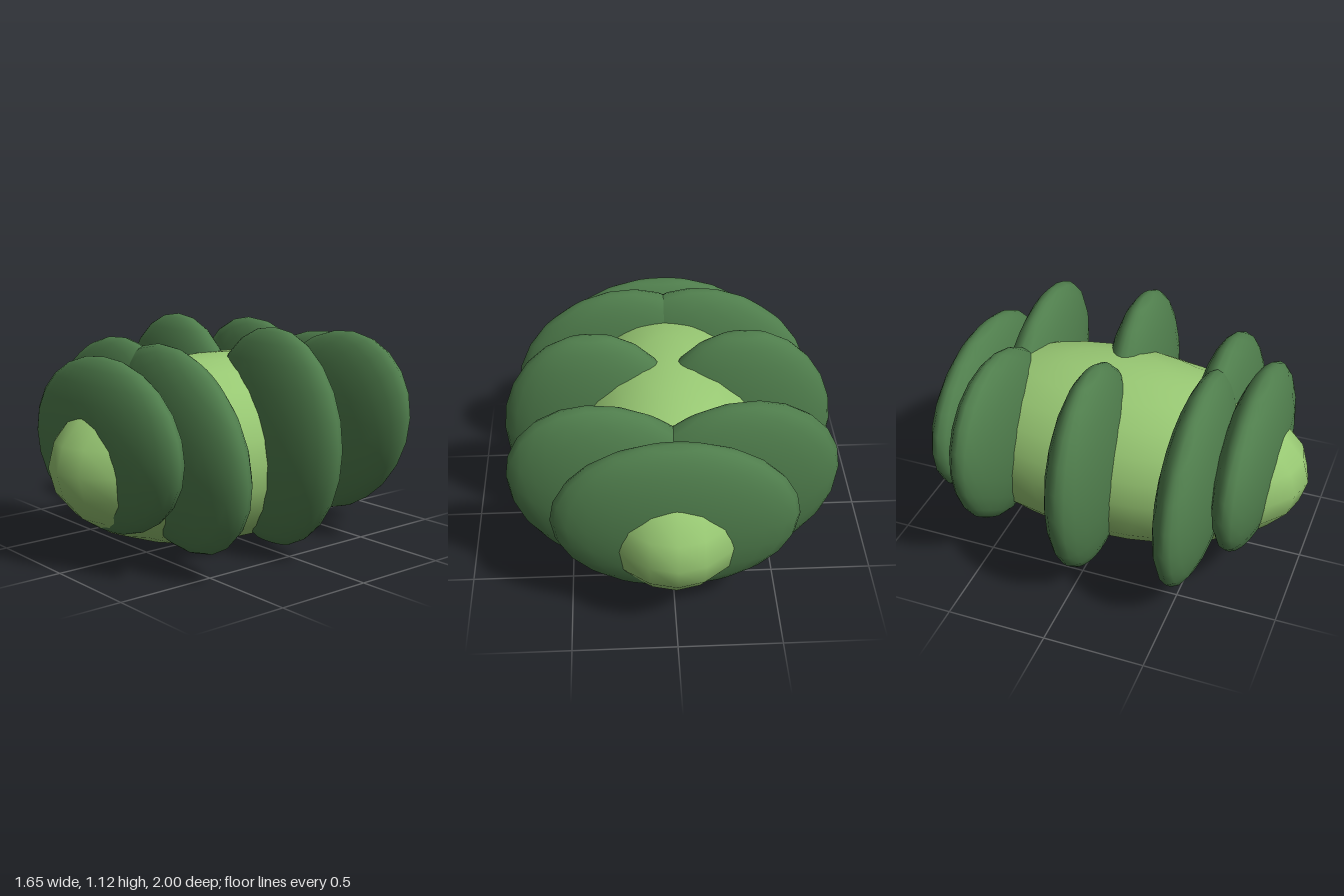
import * as THREE from 'three';

export function createModel() {
  const model = new THREE.Group();
  const bodyGreen = new THREE.MeshStandardMaterial({ color: 0x98c873 });
  bodyGreen.name = 'light green';
  const leafGreen = new THREE.MeshStandardMaterial({ color: 0x4f7d4c });
  leafGreen.name = 'dark green';
  const sphere = new THREE.SphereGeometry(1, 24, 12);

  // Stretched sphere with given centre, half sizes and tilt about z
  function ellipsoid(name, material, position, size, tilt = 0) {
    const mesh = new THREE.Mesh(sphere, material);
    mesh.name = name;
    mesh.position.set(...position);
    mesh.scale.set(...size);
    mesh.rotation.z = tilt;
    model.add(mesh);
  }

  // Long core
  ellipsoid('body', bodyGreen, [0, 0.483, 0], [0.505, 0.478, 1]);

  // Wide discs near both ends
  ellipsoid('frontLeaf', leafGreen, [0, 0.583, 0.725], [0.58, 0.42, 0.145]);
  ellipsoid('backLeaf', leafGreen, [0, 0.583, -0.725], [0.58, 0.42, 0.145]);

  // Paired side discs: the front pair leans inward, the back pair outward
  for (const side of [1, -1]) {
    const label = side > 0 ? 'left' : 'right';
    ellipsoid(label + 'MiddleLeaf', leafGreen, [side * 0.375, 0.582, 0], [0.45, 0.538, 0.152]);
    for (const end of [1, -1]) {
      ellipsoid(label + (end > 0 ? 'Front' : 'Back') + 'SideLeaf', leafGreen,
        [side * 0.27, 0.582, end * 0.51], [0.548, 0.441, 0.145], -side * end * 0.618);
    }
  }
  return model;
}
